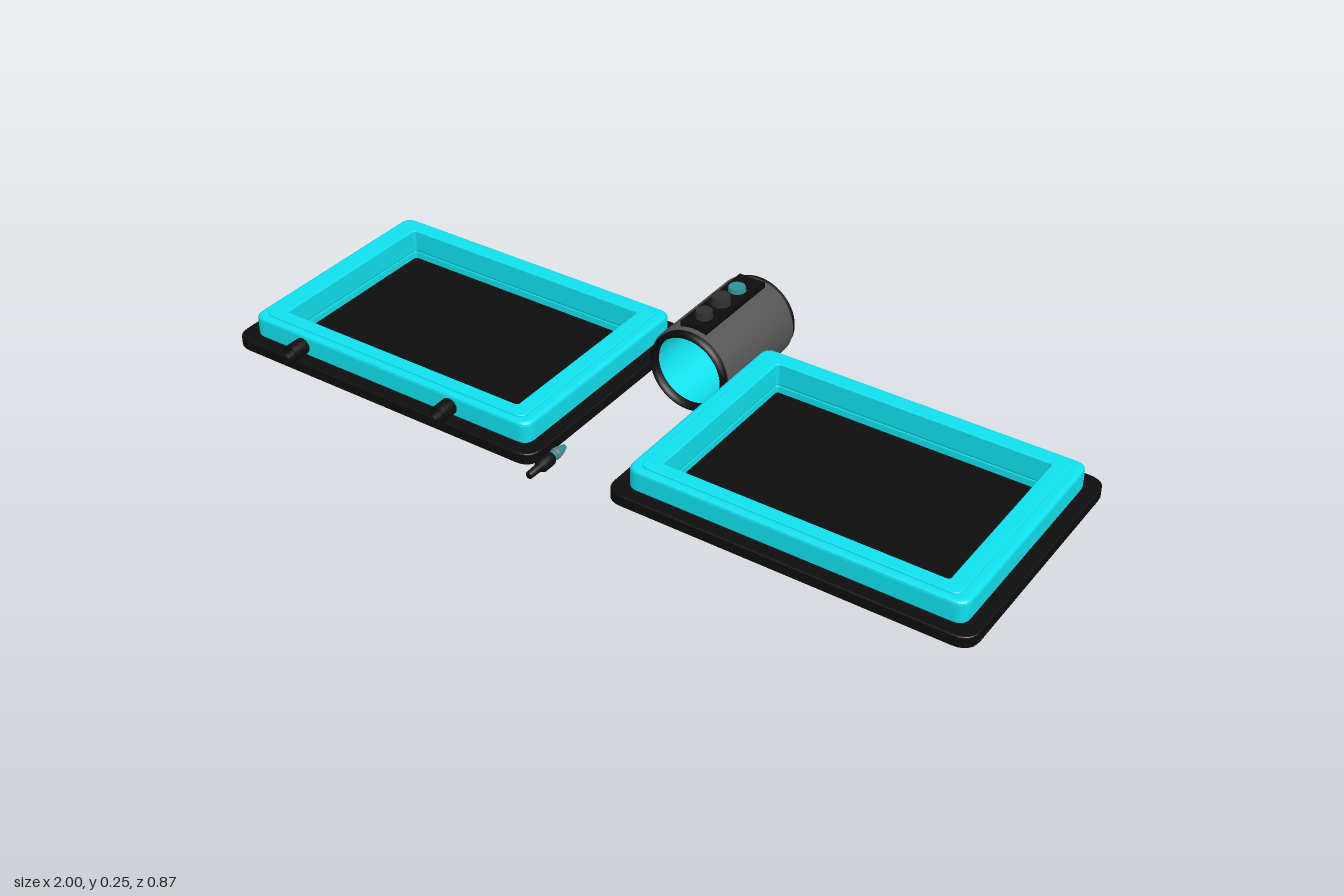
import * as THREE from 'three';

const mat = (color, side = THREE.FrontSide) => new THREE.MeshStandardMaterial({ color, side });
const black = mat(0x0d0d0d), cyan = mat(0x10e0ee), grey = mat(0x555555);
const darkGrey = mat(0x303030), teal = mat(0x2f8f9c), metal = mat(0x777777);

function add(parent, name, geometry, material, x = 0, y = 0, z = 0) {
  const mesh = new THREE.Mesh(geometry, material);
  mesh.name = name;
  mesh.position.set(x, y, z);
  parent.add(mesh);
  return mesh;
}

function roundedRect(Type, w, d, r) {
  const s = new Type(), x = w / 2, y = d / 2;
  s.moveTo(-x + r, -y);
  s.lineTo(x - r, -y); s.quadraticCurveTo(x, -y, x, -y + r);
  s.lineTo(x, y - r); s.quadraticCurveTo(x, y, x - r, y);
  s.lineTo(-x + r, y); s.quadraticCurveTo(-x, y, -x, y - r);
  s.lineTo(-x, -y + r); s.quadraticCurveTo(-x, -y, -x + r, -y);
  return s;
}

// Flat rounded frame lying in xz, from y0 to y1, with a rectangular opening
function frame(w, d, r, holeW, holeD, y0, y1, bevel) {
  const shape = roundedRect(THREE.Shape, w, d, r);
  shape.holes.push(roundedRect(THREE.Path, holeW, holeD, 0.008));
  const g = new THREE.ExtrudeGeometry(shape, {
    depth: y1 - y0 - 2 * bevel, bevelEnabled: bevel > 0, bevelThickness: bevel,
    bevelSize: bevel, bevelOffset: -bevel, bevelSegments: 3, curveSegments: 6,
  });
  g.rotateX(-Math.PI / 2);
  g.translate(0, y0 + bevel, 0);
  return g;
}

// Closed tube along z from z0 to z1
function tubeZ(outer, inner, z0, z1) {
  const pts = [[inner, z0], [outer, z0], [outer, z1], [inner, z1], [inner, z0]];
  const g = new THREE.BufferGeometry().copy(
    new THREE.LatheGeometry(pts.map(([r, z]) => new THREE.Vector2(r, z)), 48));
  return g.rotateX(Math.PI / 2);
}

function createPanel(side) {
  const panel = new THREE.Group();
  panel.name = side > 0 ? 'leftPanel' : 'rightPanel';
  panel.position.set(side * 0.55, 0, 0.04);
  add(panel, 'tray', frame(0.9, 0.65, 0.045, 0.71, 0.485, 0.078, 0.108, 0.004), black);
  add(panel, 'bezel', frame(0.83, 0.58, 0.03, 0.7, 0.475, 0.1, 0.162, 0.01), cyan);
  add(panel, 'bezelLip', frame(0.78, 0.545, 0.02, 0.7, 0.475, 0.15, 0.166, 0.003), cyan);
  // Underside: outer rim, dark groove, inner rim
  add(panel, 'lowerRim', frame(0.83, 0.58, 0.03, 0.78, 0.53, 0.066, 0.085, 0.005), cyan);
  add(panel, 'lowerInnerRim', frame(0.755, 0.515, 0.015, 0.7, 0.475, 0.068, 0.105, 0.003), cyan);
  add(panel, 'screen', new THREE.BoxGeometry(0.71, 0.012, 0.485), black, 0, 0.08, 0);
  return panel;
}

function createBarrel() {
  const barrel = new THREE.Group();
  barrel.name = 'barrel';
  const y = 0.111;
  add(barrel, 'shell', tubeZ(0.11, 0.095, -0.417, -0.13), grey, 0, y, 0);
  for (const z of [-0.433, -0.133])
    add(barrel, 'endRing', tubeZ(0.105, 0.092, z, z + 0.018), black, 0, y, 0);
  const lining = new THREE.CylinderGeometry(0.093, 0.093, 0.308, 48, 1, true).rotateX(Math.PI / 2);
  add(barrel, 'lining', lining, mat(0x10e0ee, THREE.DoubleSide), 0, y, -0.274);

  // Control strip with three buttons
  add(barrel, 'controlStrip', new THREE.BoxGeometry(0.072, 0.022, 0.26), black, 0, 0.219, -0.27);
  for (const [z, r, top, m] of [[-0.187, 0.022, 0.248, darkGrey],
    [-0.259, 0.025, 0.252, darkGrey], [-0.331, 0.023, 0.241, teal]]) {
    add(barrel, 'button', new THREE.CylinderGeometry(r * 0.9, r, top - 0.225, 28), m,
      0, (top + 0.225) / 2, z);
  }
  return barrel;
}

// Loose cable plug pointing backwards
function createPlug() {
  const profile = [[0, 0.303], [0.006, 0.306], [0.012, 0.326], [0.012, 0.358]];
  const grip = [[0, 0.356], [0.014, 0.356], [0.017, 0.362], [0.017, 0.392],
    [0.01, 0.405], [0.009, 0.437], [0, 0.437]];
  const lathe = (pts) => new THREE.LatheGeometry(
    pts.map(([r, z]) => new THREE.Vector2(r, z)), 24).rotateX(Math.PI / 2);
  const plug = new THREE.Group();
  plug.name = 'cablePlug';
  plug.position.set(-0.048, 0.127, 0);
  add(plug, 'plugTip', lathe(profile), teal);
  add(plug, 'plugBand', tubeZ(0.0135, 0.011, 0.335, 0.343), metal);
  add(plug, 'plugGrip', lathe(grip), black);
  return plug;
}

export function createModel() {
  const model = new THREE.Group();
  model.name = 'twinPanelDevice';
  model.add(createPanel(1), createPanel(-1), createBarrel(), createPlug());
  // Sockets on the front edge of the right panel
  for (const x of [-0.808, -0.358])
    add(model, 'socket', tubeZ(0.021, 0.017, 0.32, 0.374), black, x, 0.13, 0);
  return model;
}
